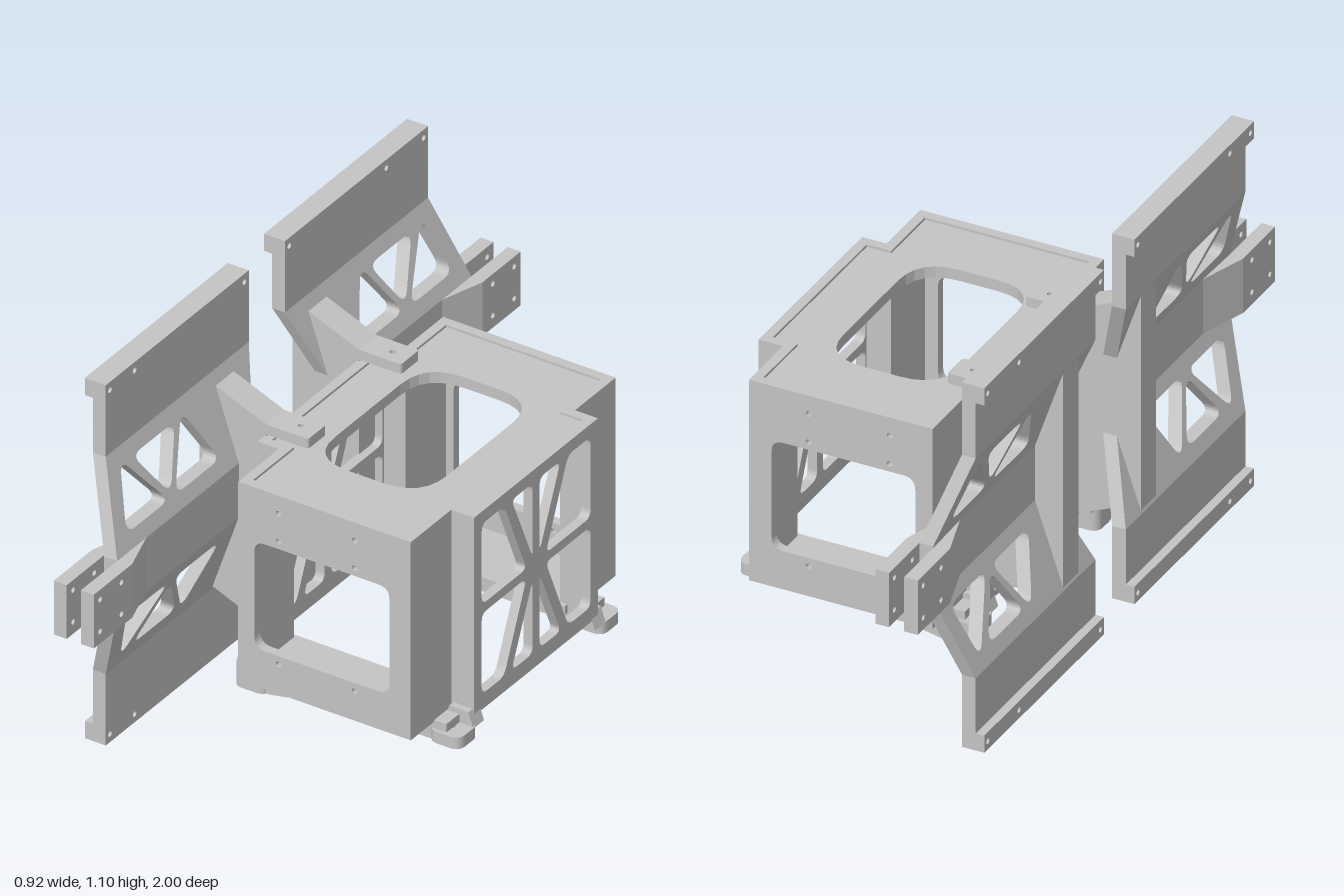
import * as THREE from 'three';

const grey = new THREE.MeshStandardMaterial({ color: 0xc4c4c4 });
grey.name = 'matte grey';

// Closed counter-clockwise outline with corners rounded by radius r
function outline(pts, r, Type) {
  const p = pts.map(([a, b]) => new THREE.Vector2(a, b));
  if (THREE.ShapeUtils.isClockWise(p)) p.reverse();
  const path = new Type();
  p.forEach((c, i) => {
    const a = p[(i + p.length - 1) % p.length], b = p[(i + 1) % p.length];
    const near = q => c.clone().add(q.clone().sub(c).setLength(Math.min(r, q.distanceTo(c) * 0.45)));
    const s = near(a), e = near(b);
    if (r === 0) return i ? path.lineTo(c.x, c.y) : path.moveTo(c.x, c.y);
    if (i) path.lineTo(s.x, s.y); else path.moveTo(s.x, s.y);
    path.quadraticCurveTo(c.x, c.y, e.x, e.y);
  });
  path.closePath();
  return path;
}

const rect = (a0, b0, a1, b1) => [[a0, b0], [a1, b0], [a1, b1], [a0, b1]];
const hole = (pts, r = 0.015) => ({ pts, r });
const drill = (a, b, r = 0.009) => hole(
  Array.from({ length: 8 }, (_, i) => [a + r * Math.cos(i * Math.PI / 4), b + r * Math.sin(i * Math.PI / 4)]), 0.003);

// Flat plate spanning at..at+t along an axis; points are (z,y), (x,z) or (x,y) for axis x, y, z
function slab(name, axis, pts, at, t, holes = [], r = 0) {
  const map = list => list.map(([a, b]) => axis === 'x' ? [-a, b] : axis === 'y' ? [a, -b] : [a, b]);
  const shape = outline(map(pts), r, THREE.Shape);
  shape.holes = holes.map(h => outline(map(h.pts), h.r, THREE.Path));
  const g = new THREE.ExtrudeGeometry(shape, { depth: t, bevelEnabled: false, curveSegments: 6 });
  if (axis === 'x') g.rotateY(Math.PI / 2);
  if (axis === 'y') g.rotateX(-Math.PI / 2);
  g.translate(axis === 'x' ? at : 0, axis === 'y' ? at : 0, axis === 'z' ? at : 0);
  const m = new THREE.Mesh(g, grey);
  m.name = name;
  return m;
}

// Lean a plate so that x shifts linearly with height
function lean(mesh, y0, dx0, y1, dx1) {
  const p = mesh.geometry.attributes.position;
  for (let i = 0; i < p.count; i++)
    p.setX(i, p.getX(i) + dx0 + (dx1 - dx0) * (p.getY(i) - y0) / (y1 - y0));
  mesh.geometry.computeVertexNormals();
  return mesh;
}

function housing() {
  const g = new THREE.Group();
  g.name = 'housing';
  g.position.z = 0.005;
  const X0 = -0.23, X1 = 0.443, A = -0.163, B = 0.372, N = 0.29, Z = 0.48, y0 = 0.14, y1 = 0.745, t = 0.028;

  // End walls with a large window and screw holes
  const screws = [];
  for (const x of [-0.038, 0.198]) for (const y of [0.23, 0.605, 0.69]) screws.push(drill(x, y));
  for (const at of [Z - t, -Z])
    g.add(slab('endWall', 'z', rect(A, y0, B, y1), at, t, [hole(rect(-0.113, 0.255, 0.306, 0.582), 0.035), ...screws]));

  // Side walls with a lattice of eight bars
  const lattice = [];
  for (const s of [1, -1]) for (const v of [1, -1]) {
    const q = list => list.map(([a, b]) => [s * a, 0.447 + v * b]);
    lattice.push(hole(q([[0.016, 0.26], [0.115, 0.26], [0.016, 0.035]]), 0.025));
    lattice.push(hole(q([[0.15, 0.26], [0.045, 0.014], [0.255, 0.014], [0.255, 0.26]]), 0.025));
  }
  for (const at of [X0, X1 - t]) g.add(slab('latticeWall', 'x', rect(-N, y0, N, y1), at, t, lattice));

  // Notched corner walls and floors of the two end bays
  for (const s of [1, -1]) {
    const zAt = s > 0 ? N - t : -N;
    for (const [a, b, x] of [[X0, A + t, A], [B - t, X1, B - t]]) {
      g.add(slab('cornerReturn', 'z', rect(a, y0, b, y1), zAt, t));
      g.add(slab('cornerWall', 'x', rect(s * (N - t), y0, s * Z, y1), x, t));
    }
    g.add(slab('bayFloor', 'y', rect(A + 0.005, s * 0.25, B - 0.005, s * (Z - 0.012)), y0, 0.025));
  }

  // Top plate set slightly below the wall rim
  const e = 0.01;
  const plan = [[X0, -N], [A, -N], [A, -Z], [B, -Z], [B, -N], [X1, -N], [X1, N], [B, N], [B, Z], [A, Z], [A, N], [X0, N]]
    .map(([x, z]) => [x + (x < 0.1 ? e : -e), z - Math.sign(z) * e]);
  g.add(slab('topPlate', 'y', plan, 0.705, 0.033, [hole(rect(-0.08, -0.275, 0.265, 0.27), 0.12)]));
  return g;
}

// Cross beam with a drilled foot at each end
function crossBeam(s) {
  const g = new THREE.Group();
  g.name = 'crossBeam';
  g.position.z = 0.005;
  const profile = [[-0.2, 0.145], [-0.2, 0.045], [-0.14, 0.045], [0.07, 0.085], [0.41, 0.085], [0.41, 0.145]];
  g.add(slab('beam', 'z', profile, s > 0 ? 0.3 : -0.37, 0.07));
  for (const [a, b, y, hx] of [[-0.245, -0.145, 0.045, -0.195], [0.36, 0.457, 0.085, 0.405]]) {
    g.add(slab('foot', 'y', rect(a, s * 0.288, b, s * 0.382), y, 0.12 - y, [drill(hx, s * 0.335)], 0.03));
    const m = (a + b) / 2;
    g.add(slab('footNeck', 'z', [[m - 0.045, 0.115], [m + 0.045, 0.115], [m + 0.03, 0.16], [m - 0.03, 0.16]],
      s > 0 ? 0.26 : -0.31, 0.05));
  }
  return g;
}

// Bent side plate with its gusset arm and fork, on side s of the model
function sidePlate(s) {
  const g = new THREE.Group();
  g.name = s > 0 ? 'frontSidePlate' : 'backSidePlate';
  const t = 0.04, back = -0.435, mid = -0.35;
  const I = 0.085, O = 0.755, MI = 0.19, MO = 0.83;
  const flip = list => list.map(([z, y]) => [s * z, y]);

  for (const up of [false, true]) {
    const Y = y => up ? 1.1 - y : y;
    const q = list => flip(list.map(([z, y]) => [z, Y(y)]));
    const screws = [0.105, s > 0 ? 0.62 : 0.56, 0.735].map(z => drill(s * z, Y(0.025)));
    g.add(slab('outerPanel', 'x', q(rect(I, 0, O, 0.218)), back, t, screws));
    g.add(slab('flange', 'x', q(rect(I, 0, O, 0.052)), -0.46, 0.026, screws));
    // Sloped web with triangular cut-outs
    const cuts = [
      [[0.765, 0.425], [0.565, 0.425], [0.705, 0.25]],
      [[0.655, 0.262], [0.455, 0.262], [0.55, 0.415]],
      [[0.535, 0.425], [0.325, 0.425], [0.42, 0.25]],
    ].map(c => hole(q(c), 0.04));
    const web = slab('slopedWeb', 'x', q([[I, 0.218], [O, 0.218], [MO, 0.468], [MI, 0.468]]), back, t, cuts);
    g.add(lean(web, Y(0.218), 0, Y(0.468), mid - back));
  }
  g.add(slab('middleBand', 'x', flip(rect(MI, 0.468, MO, 0.632)), mid, t));

  // Two drilled fork prongs joined to the middle band by tapered cheeks
  const pins = [];
  for (const z of [0.87, 0.97]) for (const y of [0.505, 0.602]) pins.push(drill(s * z, y));
  for (const d of [1, -1]) {
    const px = k => -0.332 + d * k;
    const cheek = [[px(0.018), 0.68], [px(0.062), 0.82], [px(0.022), 0.82]].map(([x, z]) => [x, s * z]);
    g.add(slab('forkCheek', 'y', cheek, 0.468, 0.164));
    g.add(slab('forkProng', 'x', flip(rect(0.82, 0.468, 1, 0.632)), d > 0 ? px(0.022) : px(0.062), 0.04, pins));
  }

  // Gusset rib passing through the plate to the housing, with a drilled tab over its top
  const gusset = [[-0.432, 0.225], [-0.39, 0.228], [-0.225, 0.16], [-0.225, 0.78], [-0.385, 0.845], [-0.432, 0.875]];
  g.add(slab('gusset', 'z', gusset, s > 0 ? 0.175 : -0.26, 0.085));
  g.add(slab('topTab', 'y', rect(-0.235, s * 0.175, -0.095, s * 0.26), 0.75, 0.03, [drill(-0.147, s * 0.215)], 0.01));
  return g;
}

export function createModel() {
  const model = new THREE.Group();
  model.name = 'bracketAssembly';
  model.add(housing());
  for (const s of [1, -1]) model.add(crossBeam(s), sidePlate(s));
  return model;
}
